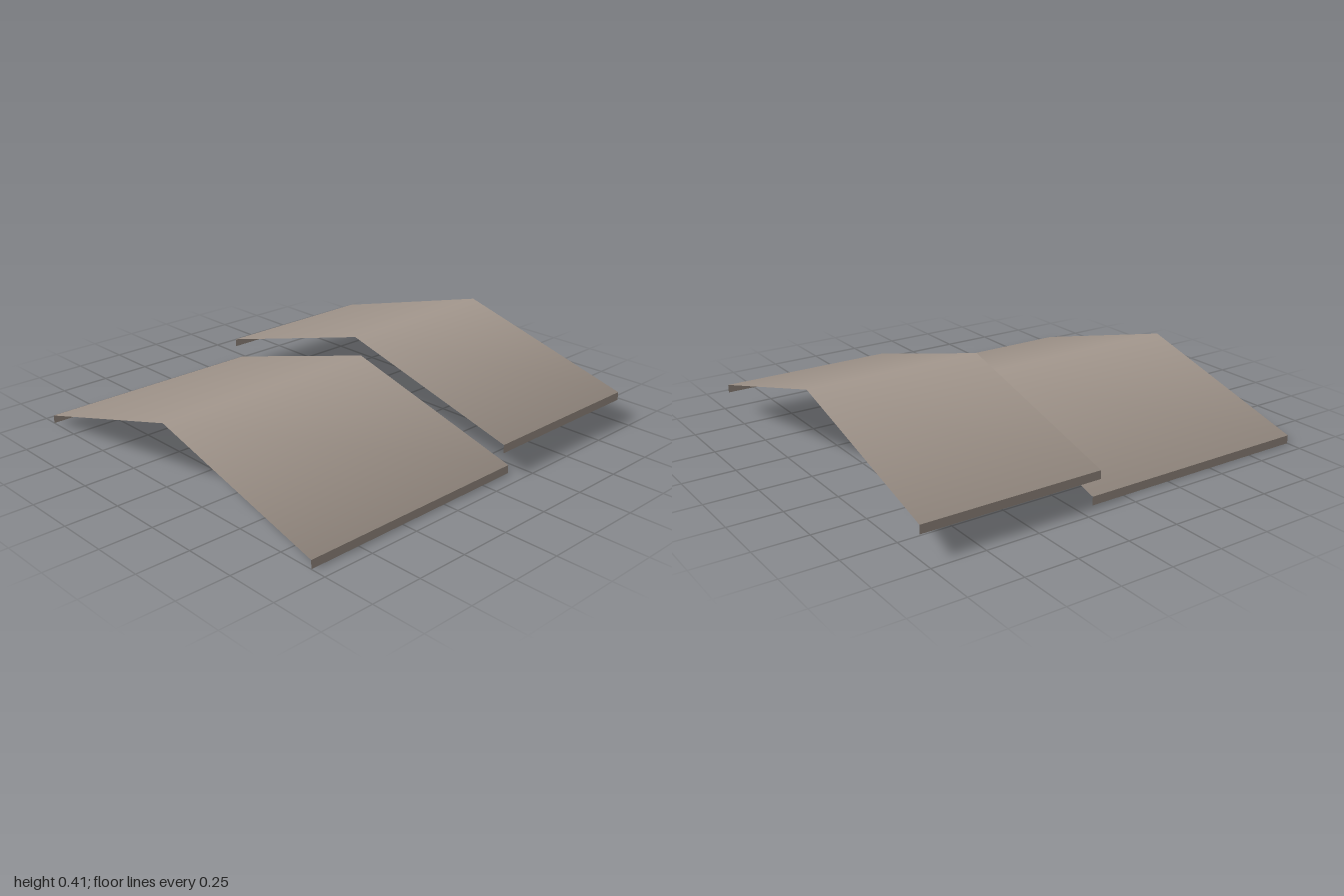
import * as THREE from 'three';

const HALF_WIDTH = 0.925;

// Open sheet swept along z; each strip of the profile carries its own edge normals.
function sheetGeometry(strips, zBack, zFront) {
  const position = [], normal = [], index = [];
  strips.forEach(({ from, to, normalFrom, normalTo }, i) => {
    position.push(...from, zFront, ...to, zFront, ...to, zBack, ...from, zBack);
    for (const n of [normalFrom, normalTo, normalTo, normalFrom]) {
      const l = Math.hypot(n[0], n[1]);
      normal.push(n[0] / l, n[1] / l, 0);
    }
    const k = i * 4;
    index.push(k, k + 1, k + 2, k, k + 2, k + 3);
  });
  const geometry = new THREE.BufferGeometry();
  geometry.setAttribute('position', new THREE.Float32BufferAttribute(position, 3));
  geometry.setAttribute('normal', new THREE.Float32BufferAttribute(normal, 3));
  geometry.setIndex(index);
  return geometry;
}

// Gabled roof sheet: two slopes blended over the ridge, with a vertical lip on each eave
function roofSection(name, material, { base, eave, ridge, zBack, zFront }) {
  const section = new THREE.Group();
  section.name = name;
  const add = (part, strips) => {
    const mesh = new THREE.Mesh(sheetGeometry(strips, zBack, zFront), material);
    mesh.name = part;
    section.add(mesh);
  };
  const w = HALF_WIDTH;
  const left = [1, 0], right = [-1, 0], up = [0, 1];
  const leftEave = [0.8, 0.8], rightEave = [-0.8, 0.8];

  add('slopes', [
    { from: [-w, eave], to: [0, ridge], normalFrom: rightEave, normalTo: up },
    { from: [0, ridge], to: [w, eave], normalFrom: up, normalTo: leftEave },
  ]);
  add('rightEaveLip', [{ from: [-w, base], to: [-w, eave], normalFrom: right, normalTo: right }]);
  add('leftEaveLip', [{ from: [w, eave], to: [w, base], normalFrom: left, normalTo: left }]);
  return section;
}

export function createModel() {
  const model = new THREE.Group();
  model.name = 'steppedRoof';
  const roofing = new THREE.MeshStandardMaterial({ color: 0xa5998f, side: THREE.DoubleSide });
  roofing.name = 'warm grey roofing';

  // Lower front roof, and the higher back roof that overlaps it
  model.add(
    roofSection('frontRoof', roofing, { base: 0, eave: 0.04, ridge: 0.3, zBack: -0.17, zFront: 1 }),
    roofSection('backRoof', roofing, { base: 0.11, eave: 0.15, ridge: 0.405, zBack: -1, zFront: -0.13 }),
  );
  return model;
}
